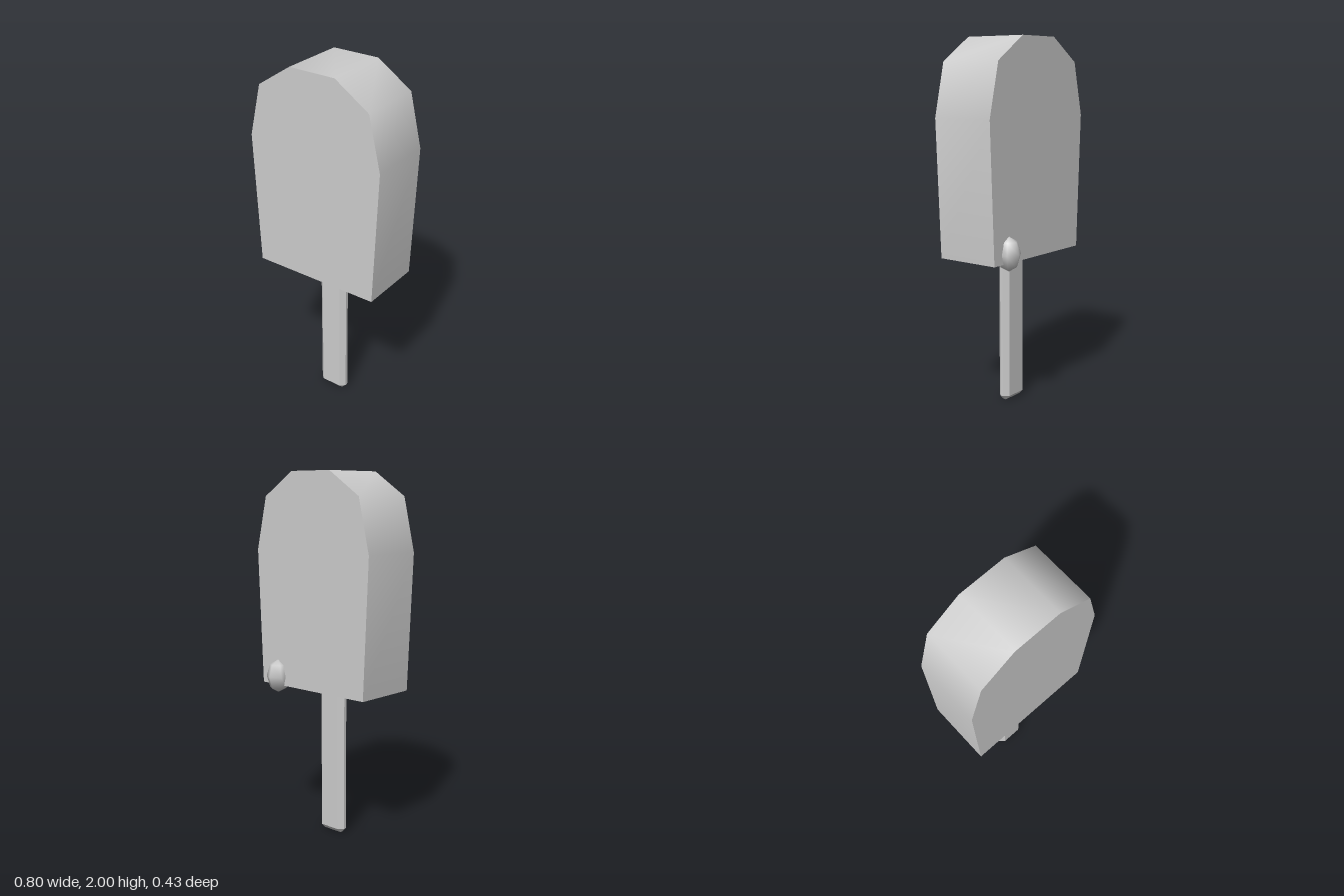
import * as THREE from 'three';
import { toCreasedNormals } from 'three/addons/utils/BufferGeometryUtils.js';
import { ConvexGeometry } from 'three/addons/geometries/ConvexGeometry.js';

// Box with every edge chamfered: three points cut from each corner
function chamferBox(hx, hy, hz, c) {
  const points = [];
  for (const sx of [-1, 1]) for (const sy of [-1, 1]) for (const sz of [-1, 1]) {
    points.push(
      new THREE.Vector3(sx * hx, sy * (hy - c), sz * (hz - c)),
      new THREE.Vector3(sx * (hx - c), sy * hy, sz * (hz - c)),
      new THREE.Vector3(sx * (hx - c), sy * (hy - c), sz * hz)
    );
  }
  return new ConvexGeometry(points);
}

export function createModel() {
  const group = new THREE.Group();
  const grey = new THREE.MeshStandardMaterial({ color: 0xcccccc });
  grey.name = 'lightGrey';
  const add = (name, geometry, x, y, z) => {
    const mesh = new THREE.Mesh(geometry, grey);
    mesh.name = name;
    mesh.position.set(x, y, z);
    group.add(mesh);
    return mesh;
  };

  // Ice block: mirrored half outline, extruded from back to front
  const half = [[0.368, 0.838], [0.4, 1.582], [0.332, 1.87], [0.135, 2]];
  const outline = [...half, ...half.map(([x, y]) => [-x, y]).reverse()];
  const shape = new THREE.Shape(outline.map(([x, y]) => new THREE.Vector2(x, y)));
  const block = new THREE.ExtrudeGeometry(shape, { depth: 0.365, bevelEnabled: false });
  add('iceBlock', toCreasedNormals(block, Math.PI / 3), 0, 0, -0.15);

  // Stick, running up into the block
  add('stick', chamferBox(0.085, 0.475, 0.0345, 0.026), 0, 0.475, 0.0345);

  // Melting drop on the back lower edge
  const drop = add('drop', new THREE.SphereGeometry(1, 6, 4).rotateY(Math.PI / 6), 0.25, 0.888, -0.15);
  drop.scale.set(0.067, 0.092, 0.067);

  return group;
}
